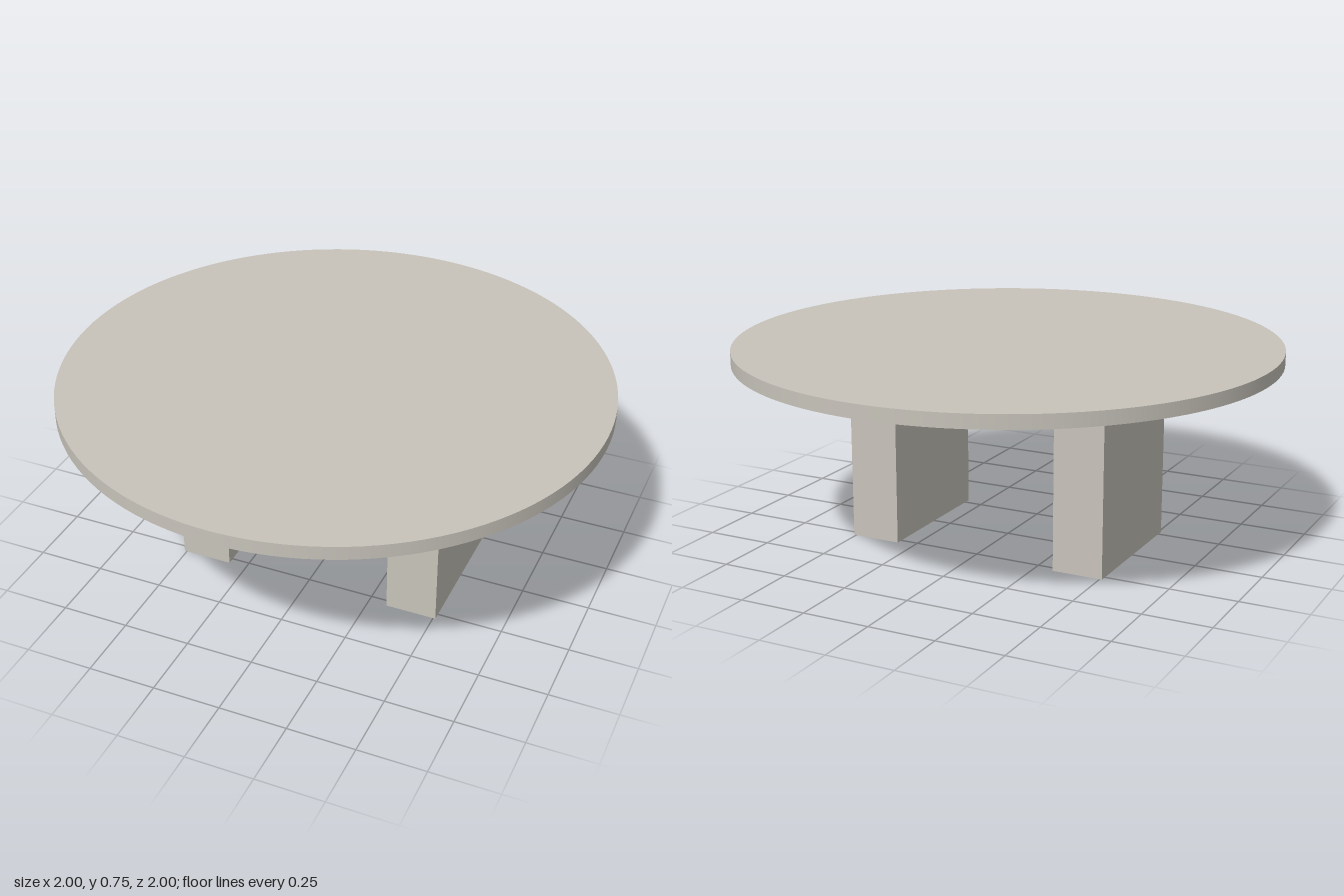
import * as THREE from 'three';

export function createModel() {
  const table = new THREE.Group();
  table.name = 'roundTable';

  const stone = new THREE.MeshStandardMaterial({ color: 0xc8c4bb });
  stone.name = 'warm grey stone';

  const height = 0.745, thickness = 0.05;
  const legHeight = height - thickness;

  // Round slab top
  const top = new THREE.Mesh(new THREE.CylinderGeometry(1, 1, thickness, 128), stone);
  top.name = 'tableTop';
  top.position.y = height - thickness / 2;
  table.add(top);

  // Two mirrored slab legs
  const legGeometry = new THREE.BoxGeometry(0.19, legHeight, 0.554);
  for (const [name, side] of [['leftLeg', 1], ['rightLeg', -1]]) {
    const leg = new THREE.Mesh(legGeometry, stone);
    leg.name = name;
    leg.position.set(side * 0.414, legHeight / 2, 0);
    table.add(leg);
  }

  return table;
}
